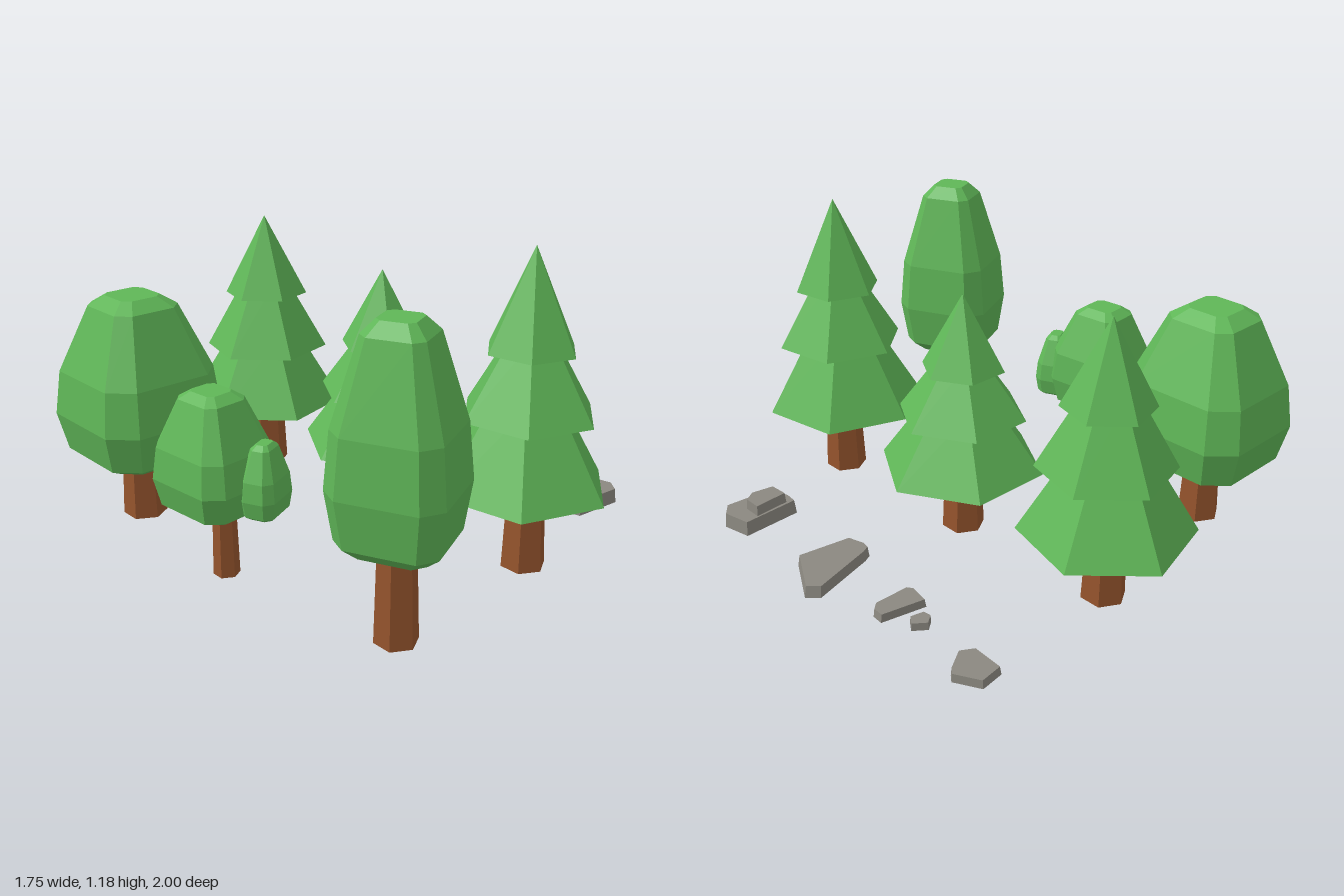
import * as THREE from 'three';

// All shells are hollow and open underneath, so both sides show.
const flat = (name, color) => {
  const m = new THREE.MeshStandardMaterial({ color, flatShading: true, side: THREE.DoubleSide });
  m.name = name;
  return m;
};

// Skins a stack of closed rings (each running from +x towards +z) and caps the top.
function loft(rings) {
  const pos = [];
  const tri = (...pts) => pts.forEach((p) => pos.push(...p));
  const n = rings[0].length, top = rings[rings.length - 1];
  const topMid = [0, 1, 2].map((k) => top.reduce((s, p) => s + p[k], 0) / n);
  for (let i = 0; i < n; i++) {
    const j = (i + 1) % n;
    for (let k = 0; k + 1 < rings.length; k++) {
      const a = rings[k], b = rings[k + 1];
      tri(a[i], b[i], a[j]);
      tri(a[j], b[i], b[j]);
    }
    tri(topMid, top[j], top[i]);
  }
  const geo = new THREE.BufferGeometry();
  geo.setAttribute('position', new THREE.Float32BufferAttribute(pos, 3));
  geo.computeVertexNormals();
  return geo;
}

export function createModel() {
  const leaf = flat('leafGreen', 0x5fb657);
  const bark = flat('barkBrown', 0x95542d);
  const stone = flat('stoneGrey', 0x8b8880);
  const forest = new THREE.Group();
  forest.name = 'forest';

  const add = (parent, name, geo, mat, x = 0, y = 0, z = 0, turn = 0) => {
    const mesh = new THREE.Mesh(geo, mat);
    mesh.name = name;
    mesh.position.set(x, y, z);
    mesh.rotation.y = THREE.MathUtils.degToRad(turn);
    parent.add(mesh);
  };
  const group = (name) => {
    const g = new THREE.Group();
    g.name = name;
    forest.add(g);
    return g;
  };
  // Open six-sided frustum; corner = angle of its first corner from +x towards +z
  const hex = (parent, name, mat, x, z, y0, y1, r0, r1, corner) =>
    add(parent, name, new THREE.CylinderGeometry(r1, r0, y1 - y0, 6, 1, true), mat, x, (y0 + y1) / 2, z, 30 - corner);

  // Pines: trunk = [x, z, height, radius]; tier = [x, z, bottom y, top y, bottom radius, top radius]
  const pines = [
    { name: 'frontPine', corner: 20, trunk: [0.153, 0.702, 0.36, 0.083], tiers: [
      [0.148, 0.684, 0.312, 0.64, 0.32, 0.13],
      [0.15, 0.697, 0.585, 0.87, 0.25, 0.08],
      [0.152, 0.695, 0.815, 1.178, 0.168, 0]] },
    { name: 'middlePine', corner: 1, trunk: [0.115, 0.002, 0.33, 0.083], tiers: [
      [0.124, -0.002, 0.28, 0.55, 0.322, 0.13],
      [0.12, -0.003, 0.495, 0.73, 0.25, 0.08],
      [0.11, 0, 0.68, 0.972, 0.161, 0]] },
    { name: 'backPine', corner: 45, trunk: [0.072, -0.688, 0.34, 0.085], tiers: [
      [0.074, -0.69, 0.28, 0.58, 0.321, 0.14],
      [0.073, -0.674, 0.525, 0.81, 0.25, 0.09],
      [0.073, -0.67, 0.755, 1.08, 0.168, 0]] },
  ];
  for (const { name, corner, trunk: [x, z, h, r], tiers } of pines) {
    const g = group(name);
    hex(g, 'trunk', bark, x, z, 0, h, r, r * 0.82, 30);
    tiers.forEach((t) => hex(g, 'needleTier', leaf, ...t, corner));
  }

  // Leafy crown: a chamfered rectangle scaled along an egg-shaped profile
  const profile = [[0, 0.64], [0.06, 0.88], [0.287, 1], [0.55, 0.92], [0.94, 0.53], [1, 0.32]];
  const crown = (w, d, c, y0, y1) => {
    const outline = [[w, -d + c], [w, d - c], [w - c, d], [c - w, d], [-w, d - c], [-w, c - d], [c - w, -d], [w - c, -d]];
    return loft(profile.map(([t, s]) => outline.map(([x, z]) => [x * s, y0 + t * (y1 - y0), z * s])));
  };

  // Broadleaf trees: crown x, z, half width, half depth, chamfer, bottom, top, turn, then trunk x, z, radius
  const trees = [
    ['frontTree', -0.534, 0.761, 0.19, 0.198, 0.062, 0.335, 1.085, 24.5, -0.536, 0.757, 0.076],
    ['backTree', -0.618, -0.59, 0.257, 0.27, 0.09, 0.245, 0.89, 0, -0.62, -0.59, 0.085],
    ['middleTree', -0.692, 0.005, 0.167, 0.187, 0.056, 0.25, 0.69, 5, -0.677, 0.033, 0.048],
  ];
  for (const [name, x, z, w, d, c, y0, y1, turn, tx, tz, r] of trees) {
    const g = group(name);
    add(g, 'crown', crown(w, d, c, y0, y1), leaf, x, 0, z, turn);
    hex(g, 'trunk', bark, tx, tz, 0, y0 + 0.05, r, r * 0.85, 30);
    // Small side bush leaning against the middle crown
    if (name === 'middleTree') add(g, 'sideCrown', crown(0.095, 0.068, 0.03, 0.27, 0.535), leaf, -0.615, 0, 0.194, 24);
  }

  // Rocks: bottom y, top y, outline corners [x, z]
  const rocks = [
    [0.02, 0.078, [[0.567, 0.49], [0.802, 0.485], [0.827, 0.6], [0.787, 0.65], [0.582, 0.63], [0.562, 0.54]]],
    [0.078, 0.12, [[0.602, 0.505], [0.742, 0.497], [0.742, 0.57], [0.697, 0.6], [0.607, 0.583]]],
    [0.02, 0.065, [[0.547, 0.055], [0.577, 0.04], [0.834, -0.028], [0.874, 0.013], [0.774, 0.192], [0.562, 0.154], [0.542, 0.085]]],
    [0.02, 0.052, [[0.597, -0.325], [0.769, -0.285], [0.766, -0.24], [0.739, -0.217], [0.597, -0.222], [0.582, -0.245]]],
    [0.02, 0.05, [[0.641, -0.4], [0.676, -0.427], [0.723, -0.39], [0.698, -0.355], [0.646, -0.368]]],
    [0.02, 0.052, [[0.656, -0.76], [0.747, -0.77], [0.798, -0.675], [0.778, -0.65], [0.7, -0.602], [0.65, -0.633]]],
  ];
  const rockGroup = group('rocks');
  for (const [y0, y1, outline] of rocks) {
    const cx = outline.reduce((s, p) => s + p[0], 0) / outline.length;
    const cz = outline.reduce((s, p) => s + p[1], 0) / outline.length;
    const ring = (y, s) => outline.map(([x, z]) => [(x - cx) * s, y, (z - cz) * s]);
    add(rockGroup, 'rock', loft([ring(y0, 1), ring(y1, 0.95)]), stone, cx, 0, cz);
  }
  return forest;
}
